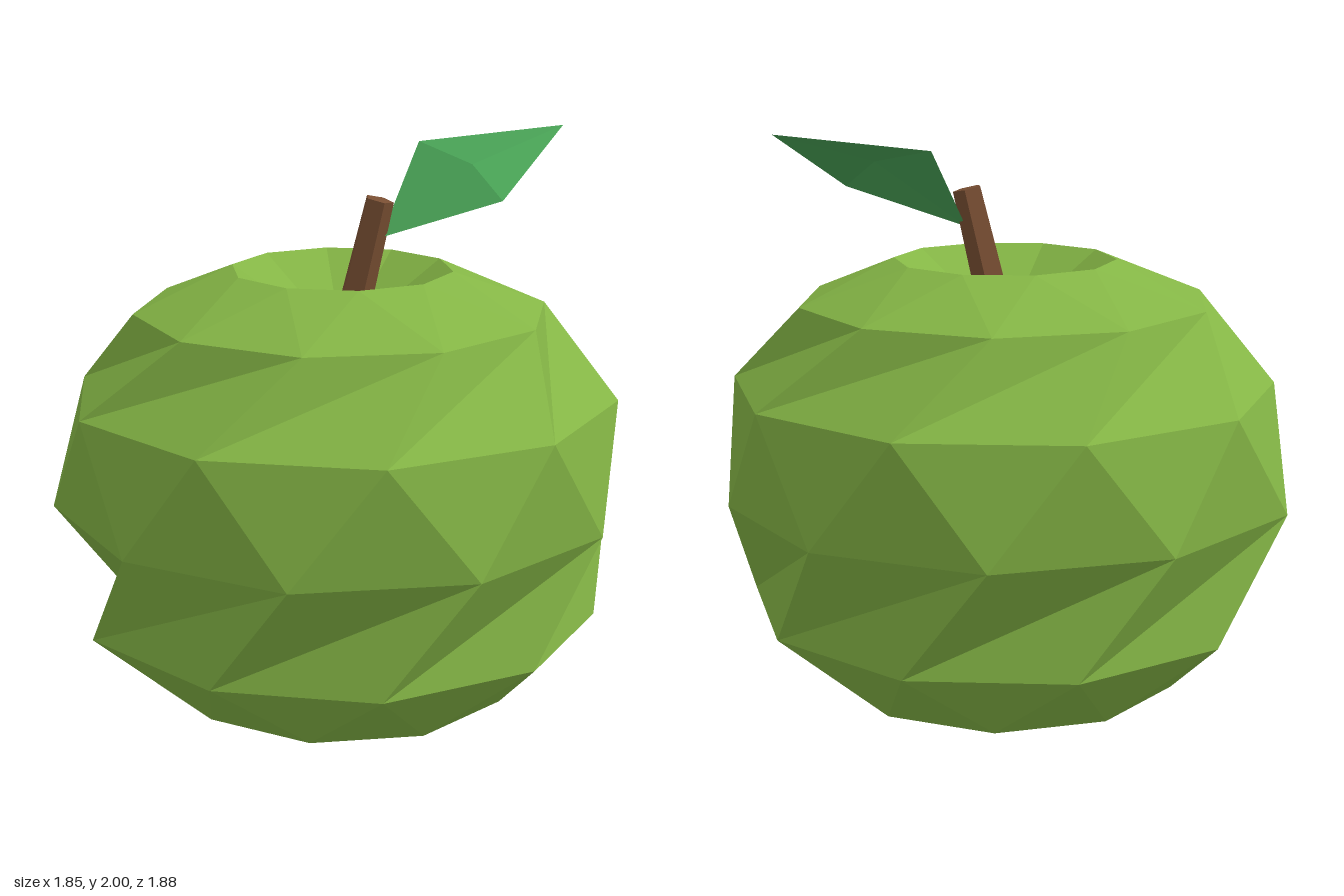
import * as THREE from 'three';

const SIDES = 10;

const skin = new THREE.MeshStandardMaterial({ color: 0x84b545, flatShading: true });
skin.name = 'apple green';
const bark = new THREE.MeshStandardMaterial({ color: 0x794f33, flatShading: true });
bark.name = 'stem brown';
const foliage = new THREE.MeshStandardMaterial({ color: 0x4aa557, flatShading: true, side: THREE.DoubleSide });
foliage.name = 'leaf green';

function meshFrom(name, triangles, material) {
  const geometry = new THREE.BufferGeometry().setFromPoints(triangles.flat());
  geometry.computeVertexNormals();
  const mesh = new THREE.Mesh(geometry, material);
  mesh.name = name;
  return mesh;
}

// Ten-sided ring; offset is a fraction of one step around the fruit
function ring(radius, y, offset) {
  return Array.from({ length: SIDES }, (_, i) => {
    const a = ((i + offset) / SIDES) * Math.PI * 2;
    return new THREE.Vector3(radius * Math.cos(a), y, radius * Math.sin(a));
  });
}

// Fruit: staggered rings, every second band twisted one step round
function createFruit() {
  const rings = [
    ring(0.37, 1.565, 0),
    ring(0.69, 1.43, 0.5),
    ring(0.92, 1.155, 0),
    ring(0.94, 0.78, 0.5),
    ring(0.87, 0.4, 0),
    ring(0.6, 0.135, 0.5),
    ring(0.31, 0.02, 0),
  ];
  // Slight irregularities
  rings[4][5].x = -0.79;
  rings[4][4].x = -0.74;
  rings[2][5].x = -0.9;
  rings[3][4].x = rings[3][5].x = -0.93;
  rings[6][3].y = 0;

  const triangles = [];
  const topDip = new THREE.Vector3(0, 1.32, 0);
  const bottomDip = new THREE.Vector3(0, 0.1, 0);
  const last = rings.length - 1;
  for (let i = 0; i < SIDES; i++) {
    const next = (i + 1) % SIDES;
    triangles.push([topDip, rings[0][next], rings[0][i]]);
    triangles.push([bottomDip, rings[last][i], rings[last][next]]);
    for (let r = 0; r < last; r++) {
      const upper = rings[r], lower = rings[r + 1];
      const shift = r % 2 ? 1 : -1;
      const a = lower[(i + shift + SIDES) % SIDES];
      const b = lower[(i + shift + 1 + SIDES) % SIDES];
      triangles.push([upper[i], b, a], [upper[i], upper[next], b]);
    }
  }
  return meshFrom('fruit', triangles, skin);
}

// Stem: leaning five-sided taper rooted in the top dip
function createStem() {
  const base = new THREE.Vector3(0.005, 1.29, 0);
  const tip = new THREE.Vector3(0.124, 1.795, 0);
  const axis = tip.clone().sub(base);
  const geometry = new THREE.CylinderGeometry(0.049, 0.061, axis.length(), 5);
  geometry.rotateY(THREE.MathUtils.degToRad(30));
  const stem = new THREE.Mesh(geometry, bark);
  stem.name = 'stem';
  stem.quaternion.setFromUnitVectors(new THREE.Vector3(0, 1, 0), axis.normalize());
  stem.position.copy(base).add(tip).multiplyScalar(0.5);
  return stem;
}

// Leaf: four facets meeting at an arched middle point
function createLeaf() {
  const middle = new THREE.Vector3(0.41, 1.895, -0.15);
  const rim = [
    [0.13, 1.67, 0], [0.525, 1.8, 0], [0.69, 2, -0.405], [0.21, 1.945, -0.325],
  ].map((p) => new THREE.Vector3(...p));
  const triangles = rim.map((p, i) => [middle, p, rim[(i + 1) % 4]]);
  return meshFrom('leaf', triangles, foliage);
}

export function createModel() {
  const model = new THREE.Group();
  model.name = 'apple';
  model.add(createFruit(), createStem(), createLeaf());
  return model;
}
